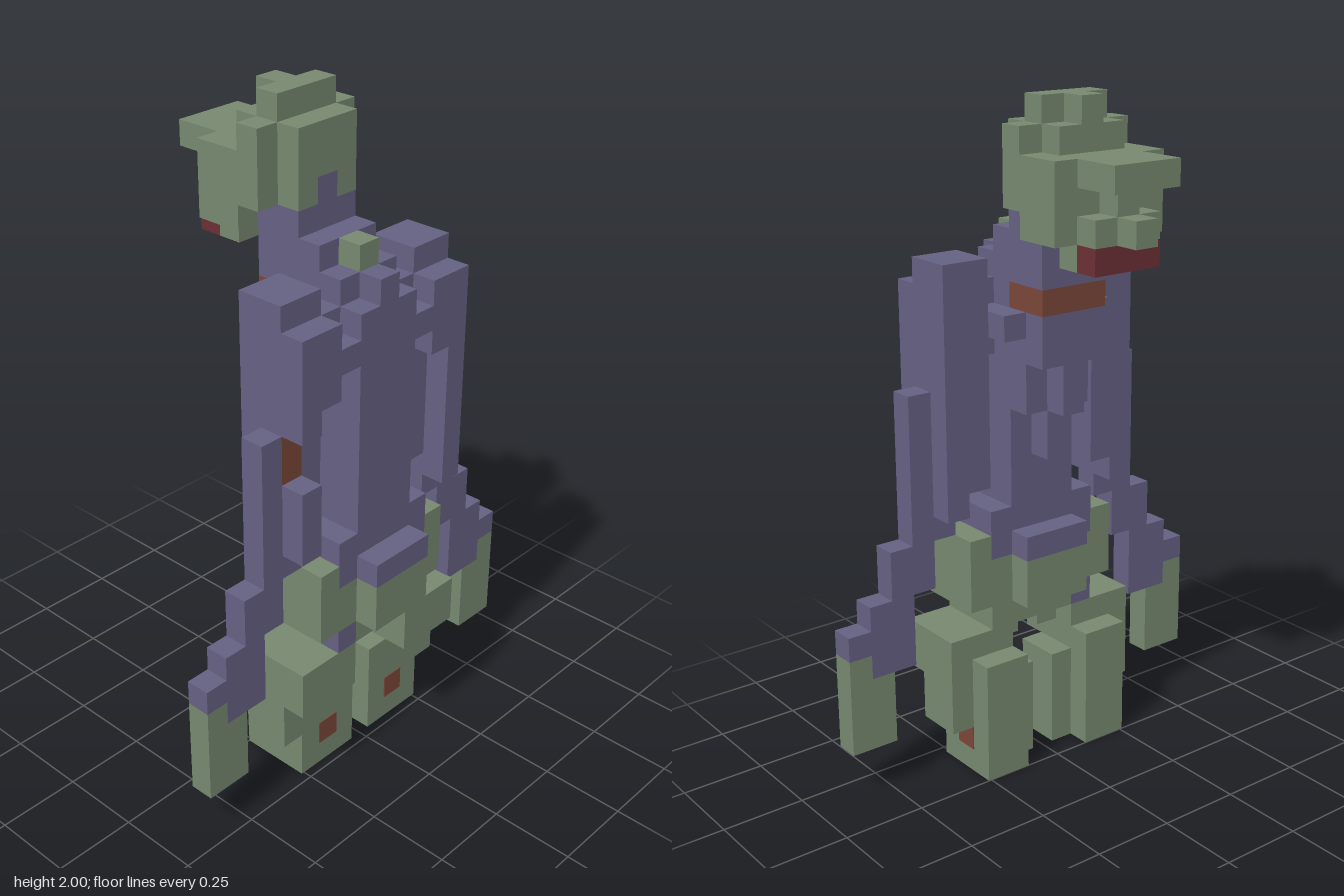
import * as THREE from 'three';

const V = 2 / 27; // size of one block

const flat = (name, color) => {
  const m = new THREE.MeshStandardMaterial({ color });
  m.name = name;
  return m;
};

export function createModel() {
  const green = flat('rotten green', 0x77886f);
  const purple = flat('faded purple', 0x656082);
  const rust = flat('rust wound', 0x7a4638);
  const red = flat('dark red', 0x6b2f35);
  const model = new THREE.Group();

  const part = (name) => {
    const g = new THREE.Group();
    g.name = name;
    model.add(g);
    return g;
  };
  // Box given by its limits in blocks
  const box = (g, name, mat, x0, x1, y0, y1, z0, z1) => {
    const mesh = new THREE.Mesh(
      new THREE.BoxGeometry((x1 - x0) * V, (y1 - y0) * V, (z1 - z0) * V), mat);
    mesh.position.set((x0 + x1) / 2 * V, (y0 + y1) / 2 * V, (z0 + z1) / 2 * V);
    mesh.name = name;
    g.add(mesh);
  };
  // Box centred on x
  const mid = (g, name, mat, w, ...r) => box(g, name, mat, -w, w, ...r);
  // Box on side s (1 = left, -1 = right)
  const side = (g, name, mat, s, x0, x1, ...r) =>
    box(g, name, mat, s > 0 ? x0 : -x1, s > 0 ? x1 : -x0, ...r);

  // Head
  const head = part('head');
  mid(head, 'crown', green, 1.5, 26, 27, -1, 0);
  mid(head, 'crownRidge', green, 0.5, 26, 27, -2, -1);
  mid(head, 'skullTop', green, 1.5, 24, 26, -2, 1);
  for (const s of [-1, 1]) side(head, 'skullBack', green, s, 0.5, 1.5, 23, 24, 0, 1);
  mid(head, 'nape', purple, 0.5, 23, 24, 0, 1);
  mid(head, 'temples', green, 2.5, 23, 26, -1, 0);
  mid(head, 'skull', green, 2.5, 23, 25, -3, -1);
  mid(head, 'cheeks', green, 2.5, 22, 23, -3, -1);
  mid(head, 'brow', green, 1.5, 24, 25, -5, -3);
  mid(head, 'noseBridge', green, 0.5, 23, 24, -4, -3);
  mid(head, 'upperJaw', green, 1.5, 22, 23, -4, -3);
  mid(head, 'nose', green, 0.5, 22, 23, -5, -4);
  mid(head, 'chin', green, 1.5, 21, 22, -3, -2);
  mid(head, 'mouth', red, 1.5, 21, 22, -4, -3);

  // Neck
  const neck = part('neck');
  mid(neck, 'upperNeck', purple, 1.5, 22, 23, -1, 1);
  mid(neck, 'lowerNeck', purple, 1.5, 20, 22, -1, 2);
  mid(neck, 'vertebra', green, 0.5, 21, 22, 2, 3);

  // Torso
  const torso = part('torso');
  mid(torso, 'trunk', purple, 1.5, 10, 20, 1, 4);
  mid(torso, 'collar', purple, 1.5, 20, 21, 2, 3);
  mid(torso, 'spineTop', purple, 0.5, 20, 21, 3, 4);
  mid(torso, 'throatWound', rust, 1.5, 19, 20, -1, 1);
  mid(torso, 'chest', purple, 1.5, 15, 19, 0, 1);
  mid(torso, 'breast', purple, 1.5, 17, 19, -1, 0);
  mid(torso, 'breastTip', purple, 0.5, 15, 17, -1, 0);
  mid(torso, 'belly', purple, 0.5, 13, 15, 0, 1);
  for (const s of [-1, 1]) {
    side(torso, 'shoulderBridge', purple, s, 1.5, 2.5, 17, 20, 2, 3);
    side(torso, 'shoulderBrace', purple, s, 1.5, 2.5, 18, 19, 3, 4);
    side(torso, 'collarBone', purple, s, 1.5, 2.5, 18, 19, 0, 2);
  }

  // Pelvis
  const pelvis = part('pelvis');
  mid(pelvis, 'waist', purple, 2.5, 9, 11, 1, 4);
  mid(pelvis, 'waistFront', purple, 1.5, 9, 10, 4, 5);
  mid(pelvis, 'waistBack', purple, 1.5, 9, 10, 0, 1);
  mid(pelvis, 'hips', green, 2.5, 7, 9, 1, 4);
  mid(pelvis, 'hipFront', green, 1.5, 7, 9, 4, 5);
  mid(pelvis, 'hipBack', green, 1.5, 7, 9, 0, 1);
  box(pelvis, 'crotch', green, -1.5, 2.5, 6, 7, 1, 4);
  box(pelvis, 'tornCloth', purple, -2.5, -1.5, 6, 7, 1, 4);

  for (const s of [-1, 1]) {
    const sideName = s > 0 ? 'left' : 'right';
    side(pelvis, 'hipSide', green, s, 2.5, 3.5, 7, 10, 1, 4);

    // Arm, stepping outwards to the hand
    const arm = part(sideName + 'Arm');
    side(arm, 'shoulder', purple, s, 2.5, 4.5, 20, 21, 1, 3);
    side(arm, 'innerShoulder', purple, s, 2.5, 3.5, 17, 20, 1, 4);
    side(arm, 'innerSleeve', purple, s, 2.5, 3.5, 12, 17, 1, 3);
    if (s > 0) {
      side(arm, 'outerSleeve', purple, s, 3.5, 4.5, 11, 20, 1, 4);
    } else {
      // The right sleeve is notched by a wound
      side(arm, 'upperSleeve', purple, s, 3.5, 4.5, 16, 20, 1, 4);
      side(arm, 'sleeveBehindWound', purple, s, 3.5, 4.5, 14, 16, 1, 2.9);
      side(arm, 'armWound', rust, s, 3.5, 4.5, 14, 16, 2.9, 3);
      side(arm, 'lowerSleeve', purple, s, 3.5, 4.5, 11, 14, 1, 4);
    }
    [[3.5, 10, 11], [4.5, 8, 16], [5.5, 5, 10], [6.5, 5, 8], [7.5, 6, 7]].forEach(
      ([x, y0, y1]) => side(arm, 'forearm', purple, s, x, x + 1, y0, y1, 2, 3));
    side(arm, 'innerHand', green, s, 6.5, 7.5, 2, 5, 2, 3);
    side(arm, 'outerHand', green, s, 7.5, 8.5, 2, 6, 2, 3);

    // Leg
    const leg = part(sideName + 'Leg');
    side(leg, 'thigh', green, s, 1.5, 4.5, 4, 6, 1, 4);
    side(leg, 'innerThigh', green, s, 0.5, 1.5, 5, 6, 2, 3);
    side(leg, 'outerCalf', green, s, 3.5, 4.5, 2, 4, 1, 3);
    side(leg, 'foot', green, s, 1.5, 3.5, 0, 5, 0, 3);
    side(leg, 'innerFoot', green, s, 0.5, 1.5, 0, 4, 1, 3);
    side(leg, 'frontSore', rust, s, 1.5, 2.5, 1, 2, 3, 3.04);
    side(leg, 'sideSore', rust, s, 3.5, 3.54, 1, 2, 1, 2);
  }
  return model;
}
